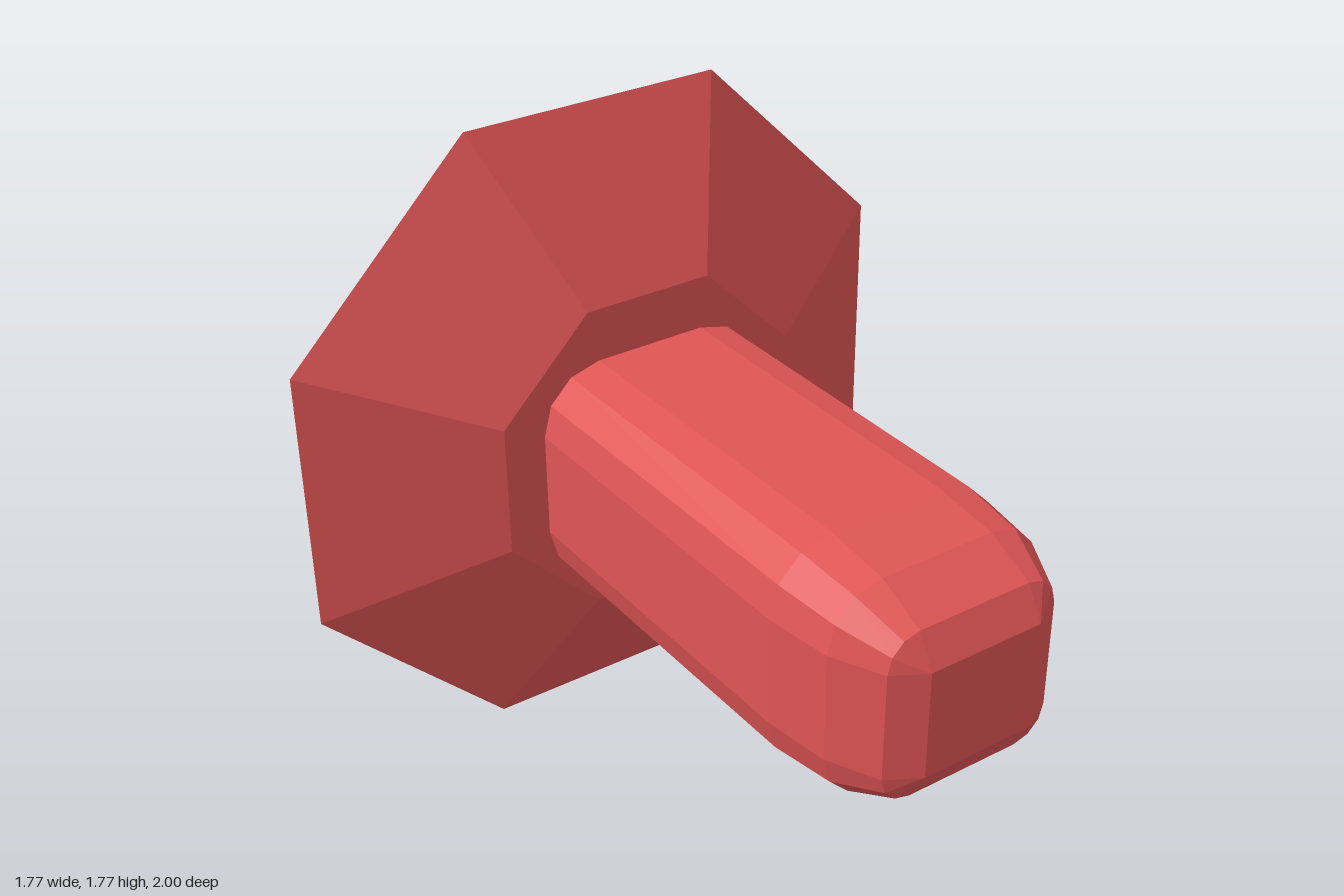
import * as THREE from 'three';

const material = new THREE.MeshStandardMaterial({ color: 0xe05555, flatShading: true });
const shellMaterial = material.clone();
shellMaterial.side = THREE.DoubleSide;

// Skin a stack of counter-clockwise outlines, given in order of rising z
function loft(sections, capBack, capFront) {
  const n = sections[0].points.length;
  const positions = [];
  const index = [];
  for (const { z, points } of sections) {
    for (const [x, y] of points) positions.push(x, y, z);
  }
  for (let s = 0; s < sections.length - 1; s++) {
    for (let i = 0; i < n; i++) {
      const a = s * n + i;
      const b = s * n + (i + 1) % n;
      index.push(a, b, b + n, a, b + n, a + n);
    }
  }
  const last = (sections.length - 1) * n;
  for (let i = 1; i < n - 1; i++) {
    if (capBack) index.push(0, i + 1, i);
    if (capFront) index.push(last, last + i, last + i + 1);
  }
  const geometry = new THREE.BufferGeometry();
  geometry.setAttribute('position', new THREE.Float32BufferAttribute(positions, 3));
  geometry.setIndex(index);
  const flat = geometry.toNonIndexed();
  flat.computeVertexNormals();
  return flat;
}

function addPart(group, name, geometry, mat = material) {
  const mesh = new THREE.Mesh(geometry, mat);
  mesh.name = name;
  group.add(mesh);
}

// Rectangle with corners rounded in three segments
function roundedOutline(cx, cy, halfX, halfY, radius) {
  const points = [];
  for (let corner = 0; corner < 4; corner++) {
    const sx = corner === 0 || corner === 3 ? 1 : -1;
    const sy = corner < 2 ? 1 : -1;
    for (let k = 0; k <= 3; k++) {
      const angle = (corner + k / 3) * Math.PI / 2;
      points.push([
        cx + sx * halfX + radius * Math.cos(angle),
        cy + sy * halfY + radius * Math.sin(angle),
      ]);
    }
  }
  return points;
}

// Octagon with flat sides facing the axes
function octagon(cx, cy, apothem) {
  const radius = apothem / Math.cos(Math.PI / 8);
  return Array.from({ length: 8 }, (_, i) => {
    const angle = (i + 0.5) * Math.PI / 4;
    return [cx + radius * Math.cos(angle), cy + radius * Math.sin(angle)];
  });
}

export function createModel() {
  const group = new THREE.Group();
  group.name = 'plugButton';

  // Long button with an elongated rounded nose
  const buttonSections = [{ z: -0.335, points: roundedOutline(0.013, 0.86, 0.157, 0.145, 0.17) }];
  for (let k = 0; k <= 3; k++) {
    const angle = k * Math.PI / 6;
    buttonSections.push({
      z: 0.64 + 0.36 * Math.sin(angle),
      points: roundedOutline(0.013, 0.86, 0.157, 0.145, Math.max(0.17 * Math.cos(angle), 0.0005)),
    });
  }
  addPart(group, 'button', loft(buttonSections, true, true));

  // Thin octagonal dish, open at the back
  addPart(group, 'flange', loft([
    { z: -0.56, points: octagon(0, 0.885, 0.885) },
    { z: -0.33, points: octagon(0.01, 0.88, 0.44) },
  ], false, true), shellMaterial);

  // Four tapered prongs on the diagonal sides of the dish floor
  const tip = [[0.35, 0.165], [0.16, 0.35], [0.12, 0.26], [0.26, 0.12]];
  const root = [[0.43, 0.205], [0.2, 0.435], [0.12, 0.26], [0.26, 0.12]];
  for (const sx of [-1, 1]) {
    for (const sy of [-1, 1]) {
      const place = (outline) => {
        const points = outline.map(([x, y]) => [0.01 + sx * x, 0.88 + sy * y]);
        return sx * sy < 0 ? points.reverse() : points;
      };
      const name = (sy > 0 ? 'upper' : 'lower') + (sx > 0 ? 'Left' : 'Right') + 'Prong';
      addPart(group, name, loft([
        { z: -1, points: place(tip) },
        { z: -0.335, points: place(root) },
      ], true, true));
    }
  }

  return group;
}
